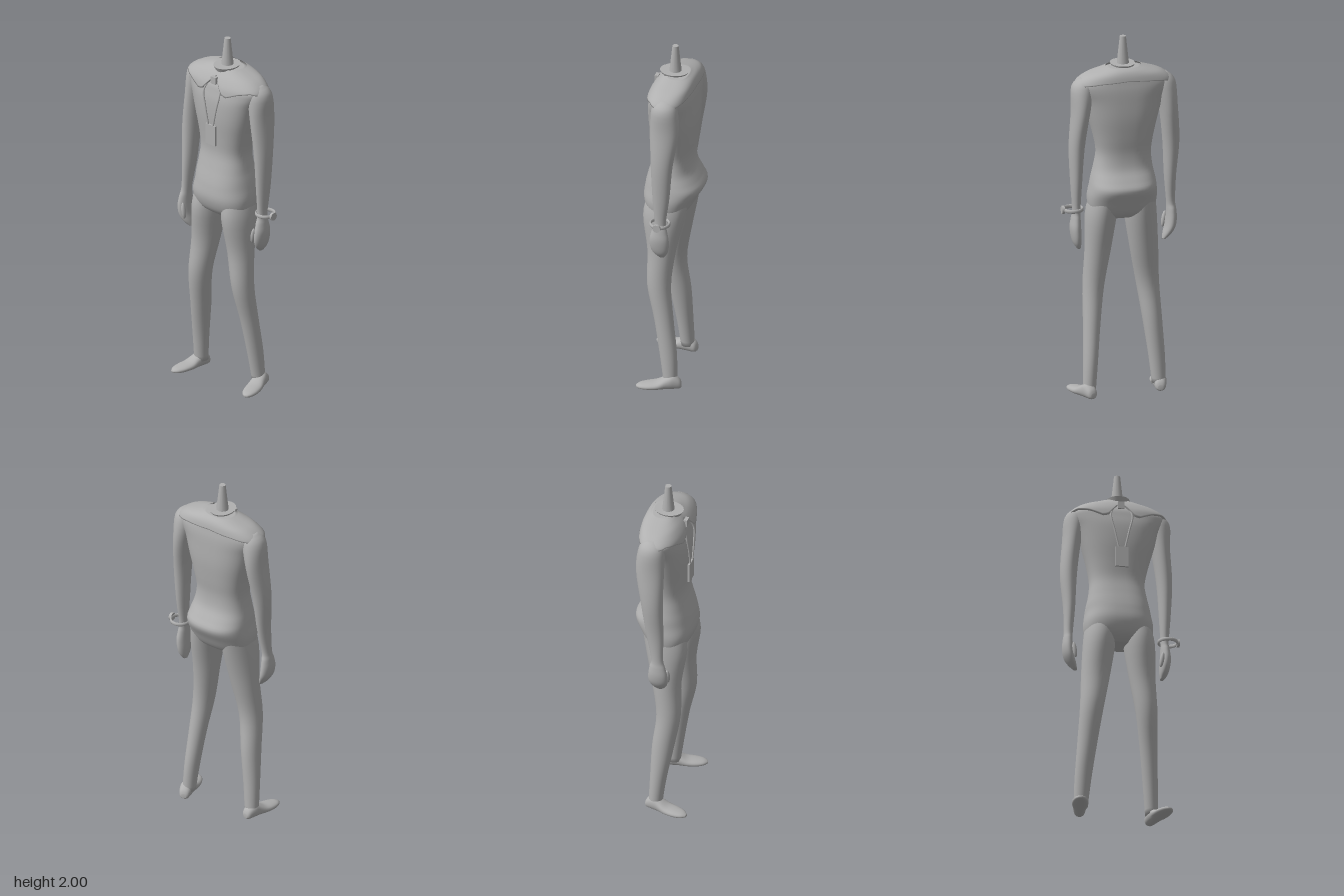
import * as THREE from 'three';

const clay = new THREE.MeshStandardMaterial({ color: 0xb0b0b0, side: THREE.DoubleSide });
clay.name = 'clay grey';

// Catmull-Rom blend of the section keys [y, centre x, half width, front z, back z]
function sections(keys, sub) {
  const out = [];
  const at = i => keys[Math.max(0, Math.min(keys.length - 1, i))];
  for (let i = 0; i < keys.length - 1; i++) {
    for (let s = 0; s < sub; s++) {
      const t = s / sub;
      out.push(keys[i].map((b, k) => {
        const a = at(i - 1)[k], c = at(i + 1)[k], d = at(i + 2)[k];
        return 0.5 * (2 * b + (c - a) * t + (2 * a - 5 * b + 4 * c - d) * t * t + (3 * b - a - 3 * c + d) * t ** 3);
      }));
    }
  }
  out.push(keys[keys.length - 1]);
  return out;
}

const spow = (v, e) => Math.sign(v) * Math.abs(v) ** e;
function ringPoint([y, cx, rx, zf, zb], a, e, grow = 0) {
  return [cx + (rx + grow) * spow(Math.cos(a), e), y, (zf + zb) / 2 + ((zf - zb) / 2 + grow) * spow(Math.sin(a), e)];
}

// Joins closed rings of n points, lowest ring first
function skin(rings, capped) {
  const n = rings[0].length, pos = rings.flat(2), index = [], last = rings.length - 1;
  for (let i = 0; i < last; i++) {
    for (let j = 0; j < n; j++) {
      const k = (j + 1) % n, a = i * n + j, b = i * n + k;
      index.push(a, a + n, b, b, a + n, b + n);
    }
  }
  if (capped) {
    [0, last].forEach((r, side) => {
      const c = pos.length / 3;
      pos.push(...[0, 1, 2].map(k => rings[r].reduce((s, p) => s + p[k], 0) / n));
      for (let j = 0; j < n; j++) {
        const a = r * n + j, b = r * n + (j + 1) % n;
        index.push(c, side ? b : a, side ? a : b);
      }
    });
  }
  const g = new THREE.BufferGeometry();
  g.setAttribute('position', new THREE.Float32BufferAttribute(pos, 3));
  g.setIndex(index);
  g.computeVertexNormals();
  return g;
}

function loft(keys, e = 1, n = 32, sub = 4) {
  const rings = sections(keys, sub).map(s =>
    Array.from({ length: n }, (_, j) => ringPoint(s, j / n * Math.PI * 2, e)));
  return skin(rings, true);
}

const TORSO = [
  [0.99, -0.012, 0.11, 0.07, -0.05], [1.03, -0.012, 0.172, 0.12, -0.1], [1.1, -0.012, 0.186, 0.145, -0.14],
  [1.17, -0.012, 0.178, 0.14, -0.175], [1.22, -0.014, 0.17, 0.13, -0.152], [1.28, -0.016, 0.157, 0.115, -0.12],
  [1.36, -0.018, 0.148, 0.1, -0.112], [1.45, -0.016, 0.162, 0.105, -0.122], [1.56, -0.014, 0.19, 0.115, -0.132],
  [1.66, -0.014, 0.218, 0.115, -0.132], [1.72, -0.014, 0.247, 0.105, -0.13], [1.76, -0.014, 0.25, 0.095, -0.125],
  [1.8, -0.014, 0.2, 0.07, -0.118], [1.825, -0.014, 0.13, 0.045, -0.105], [1.84, -0.014, 0.08, 0.03, -0.085]];

const LEFT_LEG = [[1.12, 0.085, 0.075, 0.11, -0.12], [1, 0.1, 0.083, 0.13, -0.098], [0.8, 0.116, 0.07, 0.1, -0.055],
  [0.6, 0.138, 0.058, 0.095, -0.035], [0.4, 0.155, 0.047, 0.05, -0.055], [0.2, 0.17, 0.04, 0.015, -0.08],
  [0.04, 0.18, 0.035, -0.01, -0.085]].reverse();
const RIGHT_LEG = [[1.12, -0.11, 0.078, 0.11, -0.12], [1, -0.118, 0.086, 0.13, -0.098], [0.8, -0.14, 0.077, 0.105, -0.055],
  [0.6, -0.164, 0.063, 0.11, -0.022], [0.4, -0.184, 0.053, 0.08, -0.04], [0.2, -0.203, 0.045, 0.045, -0.045],
  [0.04, -0.213, 0.038, 0.025, -0.05]].reverse();

const LEFT_ARM = [[1.79, 0.19, 0.03, 0.01, -0.06], [1.74, 0.21, 0.062, 0.045, -0.095], [1.6, 0.224, 0.05, 0.05, -0.108],
  [1.4, 0.243, 0.042, 0.04, -0.08], [1.2, 0.245, 0.031, 0.03, -0.063], [1.05, 0.243, 0.022, 0.02, -0.043],
  [1, 0.245, 0.025, 0.033, -0.05], [0.95, 0.247, 0.029, 0.045, -0.06], [0.9, 0.243, 0.028, 0.045, -0.06],
  [0.86, 0.238, 0.022, 0.03, -0.05], [0.83, 0.23, 0.01, 0, -0.03]].reverse();
const RIGHT_ARM = [[1.79, -0.22, 0.03, 0.01, -0.06], [1.74, -0.238, 0.06, 0.045, -0.095], [1.6, -0.26, 0.05, 0.05, -0.105],
  [1.4, -0.28, 0.045, 0.05, -0.07], [1.2, -0.28, 0.032, 0.055, -0.04], [1.05, -0.287, 0.024, 0.055, -0.01],
  [1, -0.291, 0.026, 0.068, -0.018], [0.95, -0.292, 0.029, 0.08, -0.025], [0.9, -0.285, 0.028, 0.08, -0.025],
  [0.86, -0.268, 0.022, 0.065, -0.01], [0.83, -0.25, 0.01, 0.04, 0.01]].reverse();

// Foot runs heel to toe; heights are negative because the loft is tipped forward
const FOOT = [[0, 0, 0.014, -0.01, -0.035], [0.012, 0, 0.028, -0.002, -0.06], [0.05, 0, 0.036, 0, -0.085],
  [0.085, 0, 0.038, 0, -0.07], [0.13, 0, 0.044, 0, -0.046], [0.18, 0, 0.042, 0, -0.037],
  [0.22, 0, 0.03, -0.002, -0.03], [0.242, 0, 0.01, -0.008, -0.02]];

// Lower edge of the shoulder cape: two points in front, a gentle curve behind
function capeEdge(a) {
  const t = Math.abs(spow(Math.cos(a), 0.8)) * 0.26;
  const path = Math.sin(a) > 0
    ? [[0, 1.805], [0.03, 1.775], [0.065, 1.725], [0.1, 1.712], [0.17, 1.745], [0.23, 1.758], [0.261, 1.745]]
    : [[0, 1.775], [0.15, 1.765], [0.261, 1.745]];
  const i = path.findIndex((p, k) => k > 0 && t <= p[0]);
  return THREE.MathUtils.mapLinear(t, path[i - 1][0], path[i][0], path[i - 1][1], path[i][1]);
}

function capeGeometry() {
  const secs = sections(TORSO, 8), rows = 14, n = 96;
  const sectionAt = y => {
    const i = Math.max(1, secs.findIndex(s => s[0] >= y)), t = (y - secs[i - 1][0]) / (secs[i][0] - secs[i - 1][0]);
    return secs[i].map((v, k) => THREE.MathUtils.lerp(secs[i - 1][k], v, t));
  };
  const rings = [];
  for (let r = -1; r <= rows; r++) {
    rings.push(Array.from({ length: n }, (_, j) => {
      const a = j / n * Math.PI * 2;
      const y = THREE.MathUtils.lerp(capeEdge(a), 1.838, Math.max(0, r) / rows);
      const p = ringPoint(sectionAt(y), a, 0.8, r < 0 ? -0.004 : 0.01);
      p[1] += r < 0 ? 0 : 0.004;
      return p;
    }));
  }
  return skin(rings, false);
}

export function createModel() {
  const model = new THREE.Group();
  model.name = 'figure';
  const add = (name, geometry, x = 0, y = 0, z = 0, parent = model) => {
    const m = new THREE.Mesh(geometry, clay);
    m.name = name;
    m.position.set(x, y, z);
    parent.add(m);
    return m;
  };

  // Body and limbs
  add('torso', loft(TORSO, 0.8, 48));
  add('leftLeg', loft(LEFT_LEG));
  add('rightLeg', loft(RIGHT_LEG));
  add('leftArm', loft(LEFT_ARM));
  add('rightArm', loft(RIGHT_ARM));

  const foot = loft(FOOT, 0.9, 24).rotateX(Math.PI / 2);
  add('leftFoot', foot, 0.172, 0, -0.108).rotation.y = 0.32;
  add('rightFoot', foot, -0.21, 0, -0.066).rotation.y = -0.16;

  for (const [name, x, z, s] of [['leftThumb', 0.22, 0.036, 1], ['rightThumb', -0.262, 0.072, -1]]) {
    const thumb = add(name, new THREE.SphereGeometry(1, 16, 10), x, 0.925, z);
    thumb.scale.set(0.012, 0.045, 0.014);
    thumb.rotation.z = -0.15 * s;
  }

  // Neck and cape
  const neck = add('neckPlate', new THREE.CylinderGeometry(0.066, 0.054, 0.028, 24), -0.014, 1.836, -0.005);
  neck.scale.z = 1.2;
  add('neckPeg', new THREE.CylinderGeometry(0.017, 0.034, 0.155, 12), -0.015, 1.9225, -0.01);
  add('cape', capeGeometry());
  add('knot', new THREE.BoxGeometry(0.035, 0.04, 0.02), -0.014, 1.785, 0.092);

  // Lanyard and badge
  const lanyard = new THREE.Group();
  lanyard.name = 'lanyard';
  model.add(lanyard);
  for (const s of [-1, 1]) {
    const path = new THREE.CatmullRomCurve3([[0.03, 1.79, 0.075], [0.058, 1.72, 0.112], [0.04, 1.63, 0.12], [0.018, 1.53, 0.12]]
      .map(([x, y, z]) => new THREE.Vector3(-0.014 + s * x, y, z)));
    add('strap', new THREE.TubeGeometry(path, 16, 0.005, 6), 0, 0, 0, lanyard);
  }
  add('badge', new THREE.BoxGeometry(0.072, 0.115, 0.012), -0.014, 1.473, 0.117, lanyard);

  // Bracelet with a stud
  const bracelet = new THREE.Group();
  bracelet.name = 'bracelet';
  bracelet.position.set(0.262, 1.053, -0.017);
  model.add(bracelet);
  const band = add('band', new THREE.TorusGeometry(0.051, 0.006, 8, 32), 0, 0, 0, bracelet);
  band.rotation.x = Math.PI / 2;
  band.scale.z = 1.8;
  add('stud', new THREE.CylinderGeometry(0.022, 0.022, 0.014, 16), 0.056, 0, 0, bracelet).rotation.z = Math.PI / 2;

  return model;
}
